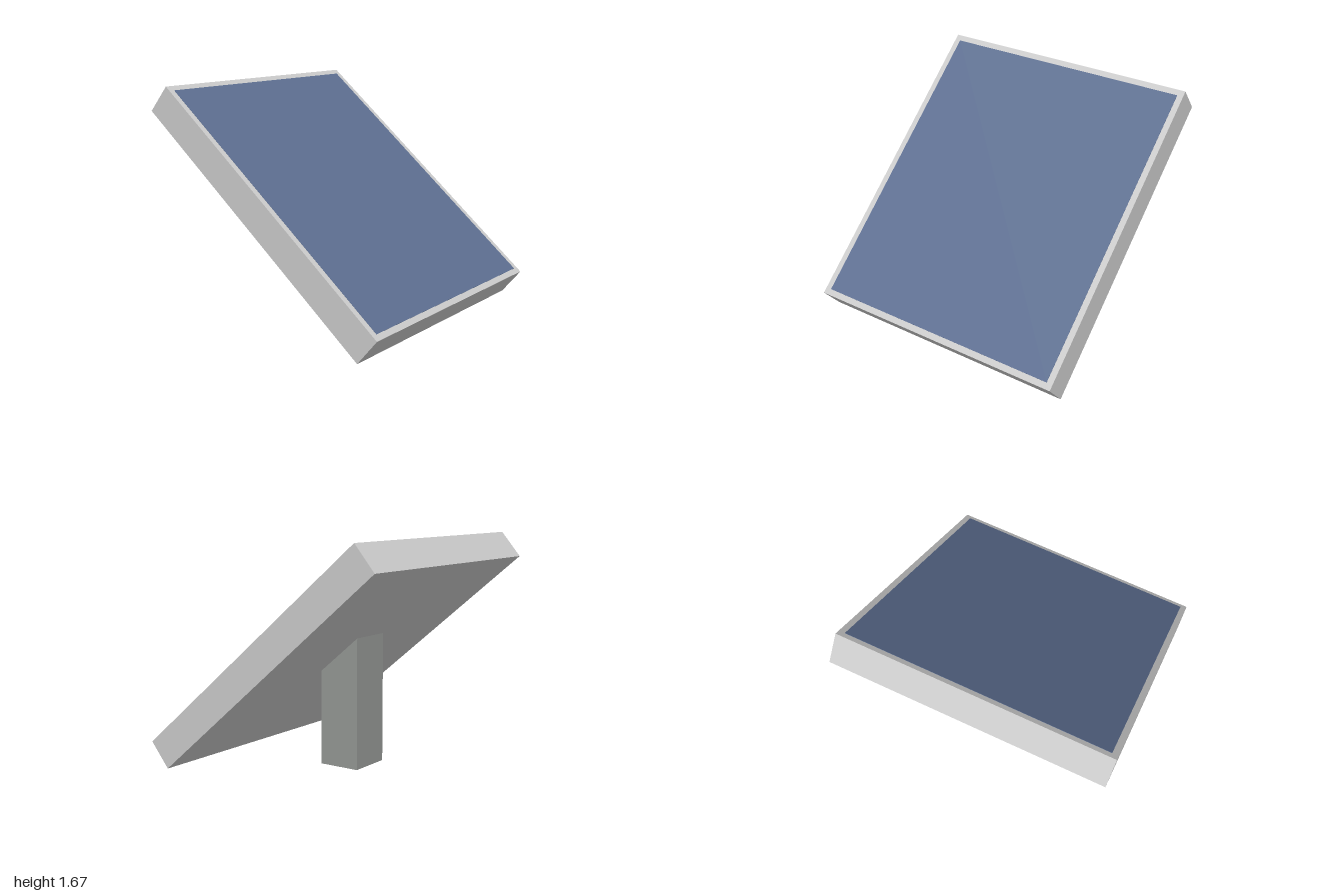
import * as THREE from 'three';

const TILT = THREE.MathUtils.degToRad(40);
const LENGTH = 2.32, THICKNESS = 0.234, WIDTH = 2, BORDER = 0.045;

export function createModel() {
  const model = new THREE.Group();
  model.name = 'solarPanel';

  const material = (name, color) => {
    const m = new THREE.MeshStandardMaterial({ color });
    m.name = name;
    return m;
  };
  const frameGrey = material('frameGrey', 0xcacaca);
  const postGrey = material('postGrey', 0x949794);
  const cellBlue = material('cellBlue', 0x5c6e90);

  const add = (parent, name, geometry, mat) => {
    const mesh = new THREE.Mesh(geometry, mat);
    mesh.name = name;
    parent.add(mesh);
    return mesh;
  };

  // Tilted slab with a thin blue face inset from its rim
  const panel = new THREE.Group();
  panel.name = 'panel';
  panel.position.y = 0.835;
  panel.rotation.z = -TILT;
  model.add(panel);
  add(panel, 'frame', new THREE.BoxGeometry(LENGTH, THICKNESS, WIDTH), frameGrey);
  const cells = add(panel, 'cellFace',
    new THREE.BoxGeometry(LENGTH - 2 * BORDER, 0.004, WIDTH - 2 * BORDER), cellBlue);
  cells.position.y = THICKNESS / 2;

  // Square post, cut at the slope of the panel's underside
  const [x0, x1, z0, z1] = [-0.325, -0.01, -0.247, 0.087];
  const underside = (x) => 0.835 - THICKNESS / 2 / Math.cos(TILT) - x * Math.tan(TILT);
  const profile = new THREE.Shape([
    new THREE.Vector2(x0, 0),
    new THREE.Vector2(x1, 0),
    new THREE.Vector2(x1, underside(x1)),
    new THREE.Vector2(x0, underside(x0)),
  ]);
  const post = add(model, 'post',
    new THREE.ExtrudeGeometry(profile, { depth: z1 - z0, bevelEnabled: false }), postGrey);
  post.position.z = z0;

  return model;
}
